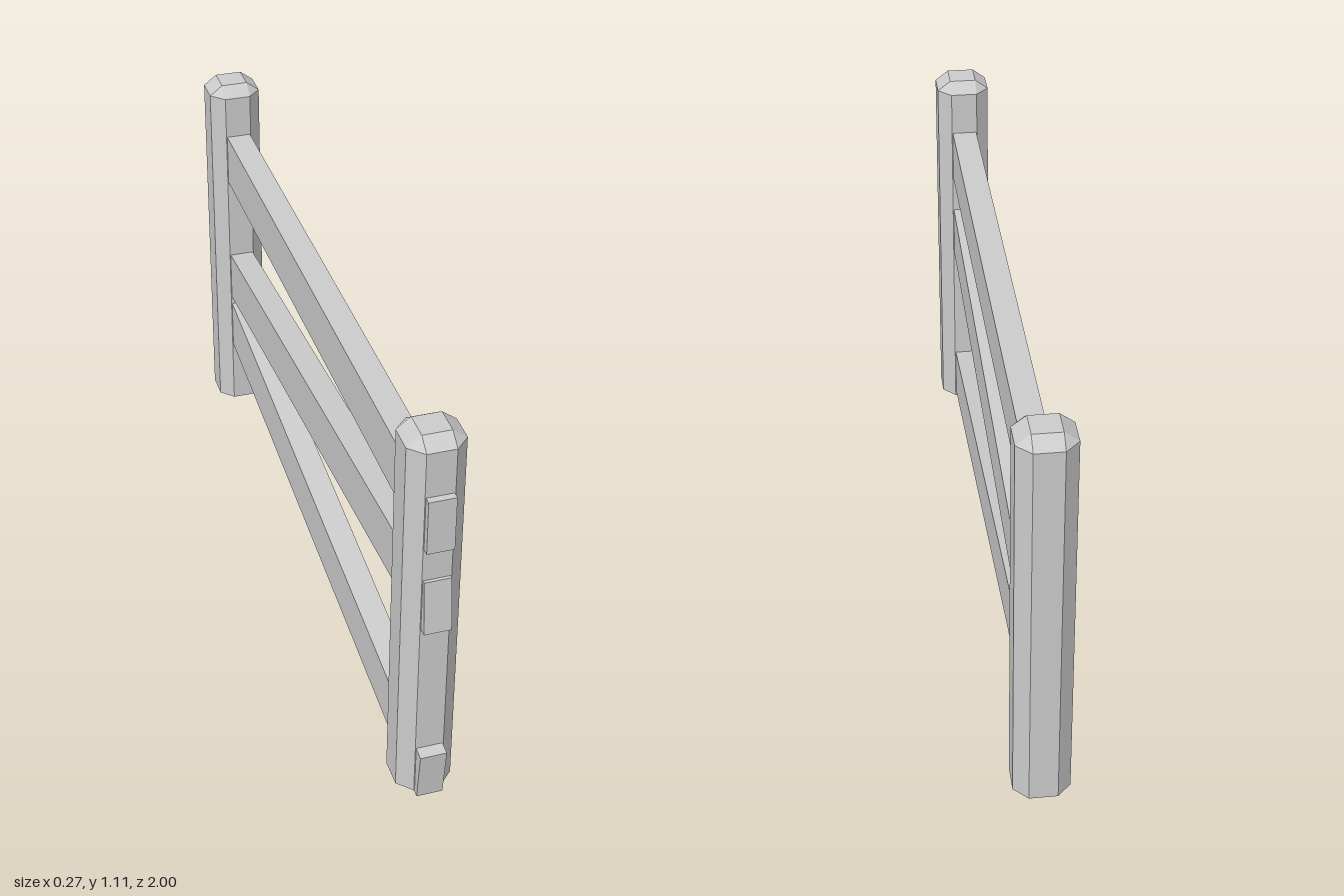
import * as THREE from 'three';
import { ConvexGeometry } from 'three/addons/geometries/ConvexGeometry.js';

const material = new THREE.MeshStandardMaterial({ color: 0xcccccc, flatShading: true });

// Eight-sided post whose chamfered cap narrows to a small square
function makePost(name, z) {
  const a = 0.0743, h = 0.0373; // half width, half face width
  const bottom = 0.01, shoulder = 1.085, top = 1.113;
  const points = [];
  for (const sx of [-1, 1]) {
    for (const sz of [-1, 1]) {
      for (const y of [bottom, shoulder]) {
        points.push(new THREE.Vector3(sx * a, y, sz * h), new THREE.Vector3(sx * h, y, sz * a));
      }
      points.push(new THREE.Vector3(sx * h, top, sz * h));
    }
  }
  const post = new THREE.Mesh(new ConvexGeometry(points), material);
  post.name = name;
  post.position.z = z;
  return post;
}

// Square-cut plank between two centre points in the fence plane
function makeRail(name, [frontY, frontZ], [backY, backZ]) {
  const dy = frontY - backY, dz = frontZ - backZ;
  const rail = new THREE.Mesh(new THREE.BoxGeometry(0.07, 0.153, Math.hypot(dy, dz)), material);
  rail.name = name;
  rail.position.set(0, (frontY + backY) / 2, (frontZ + backZ) / 2);
  rail.rotation.x = -Math.atan2(dy, dz);
  return rail;
}

export function createModel() {
  const model = new THREE.Group();
  model.name = 'fence';

  // The whole fence section stands slightly turned
  const section = new THREE.Group();
  section.name = 'fenceSection';
  section.position.set(-0.001, 0, -0.0165);
  section.rotation.y = 0.0634;
  model.add(section);

  section.add(
    makePost('frontPost', 0.908),
    makePost('backPost', -0.908),
    // Rails poke through the front post and end inside the back post
    makeRail('topRail', [0.8835, 1.001], [0.8835, -0.915]),
    makeRail('middleRail', [0.637, 0.999], [0.465, -0.915]),
    makeRail('bottomRail', [0.0797, 1.007], [0.303, -0.915]),
  );
  return model;
}
